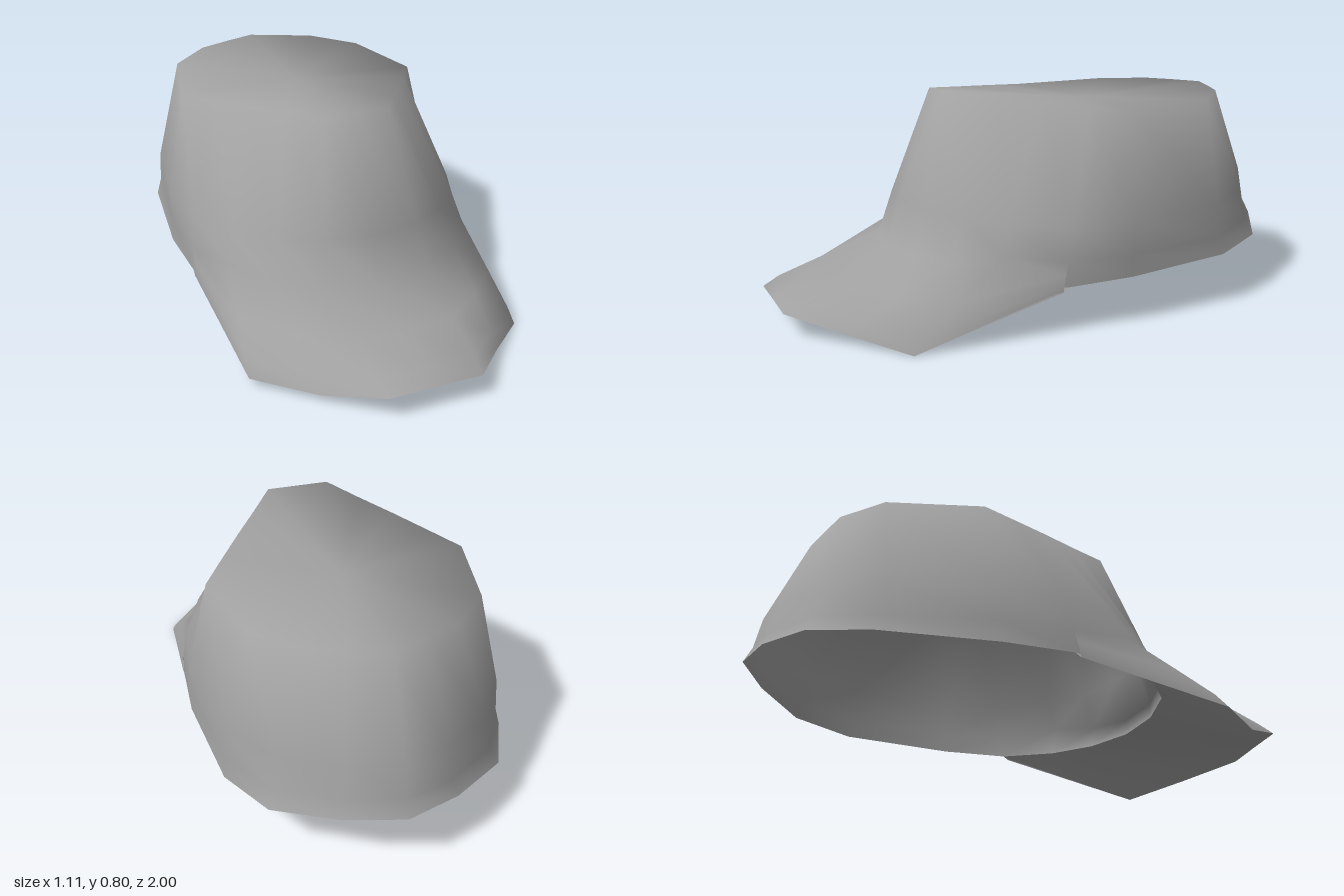
import * as THREE from 'three';
import { mergeGeometries, mergeVertices } from 'three/addons/utils/BufferGeometryUtils.js';

// Mirrors a half line (centre first) into a full line running from -x to +x.
const mirrorLine = (half) => [
  ...half.slice(1).reverse().map(([x, y, z]) => [-x, y, z]),
  ...half,
];

// Mirrors a half ring (front centre to back centre) into a closed ring.
const mirrorRing = (half) => [
  ...half,
  ...half.slice(1, -1).reverse().map(([x, y, z]) => [-x, y, z]),
];

// Skins rows of points; rows run downwards, points run towards +x at the front.
function skin(rows, closed, apex) {
  const n = rows[0].length;
  const positions = rows.flat(2);
  const index = [];
  const across = closed ? n : n - 1;
  for (let r = 0; r < rows.length - 1; r++) {
    for (let i = 0; i < across; i++) {
      const j = (i + 1) % n;
      const a = r * n + i, b = r * n + j, c = a + n, d = b + n;
      index.push(a, c, d, a, d, b);
    }
  }
  if (apex) {
    const top = positions.length / 3;
    positions.push(...apex);
    for (let i = 0; i < n; i++) index.push(top, i, (i + 1) % n);
  }
  const geometry = new THREE.BufferGeometry();
  geometry.setAttribute('position', new THREE.Float32BufferAttribute(positions, 3));
  geometry.setIndex(index);
  return geometry;
}

export function createModel() {
  const group = new THREE.Group();
  group.name = 'cap';
  const cloth = new THREE.MeshStandardMaterial({ color: 0xa0a0a0, side: THREE.DoubleSide });
  cloth.name = 'grey cloth';
  const add = (name, geometry) => {
    geometry.computeVertexNormals();
    const mesh = new THREE.Mesh(geometry, cloth);
    mesh.name = name;
    group.add(mesh);
  };

  // Crown: angular top rim, widest ring, lower band and lip
  const rim = [[0, 0.795, 0.35], [0.12, 0.795, 0.35], [0.21, 0.782, 0.21], [0.3, 0.77, 0.075],
    [0.39, 0.757, -0.065], [0.475, 0.745, -0.2], [0.4, 0.76, -0.55], [0.25, 0.77, -0.7],
    [0.13, 0.773, -0.75], [0, 0.775, -0.8]];
  const belly = [[0, 0.4, 0.52], [0.18, 0.4, 0.49], [0.32, 0.39, 0.4], [0.44, 0.38, 0.28],
    [0.525, 0.37, 0.08], [0.555, 0.37, -0.15], [0.495, 0.38, -0.55], [0.365, 0.4, -0.75],
    [0.17, 0.43, -0.89], [0, 0.44, -0.945]];
  const band = [[0, 0.235, 0.57], [0.2, 0.24, 0.54], [0.36, 0.255, 0.45], [0.47, 0.28, 0.31],
    [0.54, 0.25, 0.1], [0.553, 0.25, -0.15], [0.5, 0.255, -0.56], [0.385, 0.275, -0.77],
    [0.18, 0.3, -0.91], [0, 0.32, -0.97]];
  const lip = [[0, 0.18, 0.57], [0.2, 0.18, 0.54], [0.36, 0.175, 0.44], [0.47, 0.17, 0.3],
    [0.545, 0.165, 0.1], [0.557, 0.172, -0.15], [0.515, 0.19, -0.57], [0.41, 0.215, -0.79],
    [0.2, 0.245, -0.93], [0, 0.26, -1]];
  const crown = skin([rim, belly, band, lip].map(mirrorRing), true, [0, 0.74, -0.25]);

  // Visor: arched sheet growing smoothly out of the front of the band
  const root = mirrorLine(band.slice(0, 5));
  const edge = mirrorLine([[0, 0.088, 1], [0.17, 0.087, 1], [0.33, 0.04, 0.83],
    [0.515, 0.015, 0.655], [0.545, 0.15, 0.12]]);
  edge[1][1] = 0.03;
  edge[2][1] = 0.03;
  edge[7][1] = 0;
  const between = (from, t, lift) => from.map((p, i) =>
    p.map((v, k) => v + (edge[i][k] - v) * t + (k === 1 ? lift : 0)));
  const visor = skin([root, between(root, 0.5, 0.008), between(root, 0.87, 0.012), edge], false);
  add('crownAndVisor', mergeVertices(mergeGeometries([crown, visor])));

  // Visor underside, from the outer edge back to the crown opening
  const opening = mirrorLine(lip.slice(0, 5));
  add('visorUnderside', skin([edge, between(opening, 0.5, 0), opening], false));

  return group;
}
